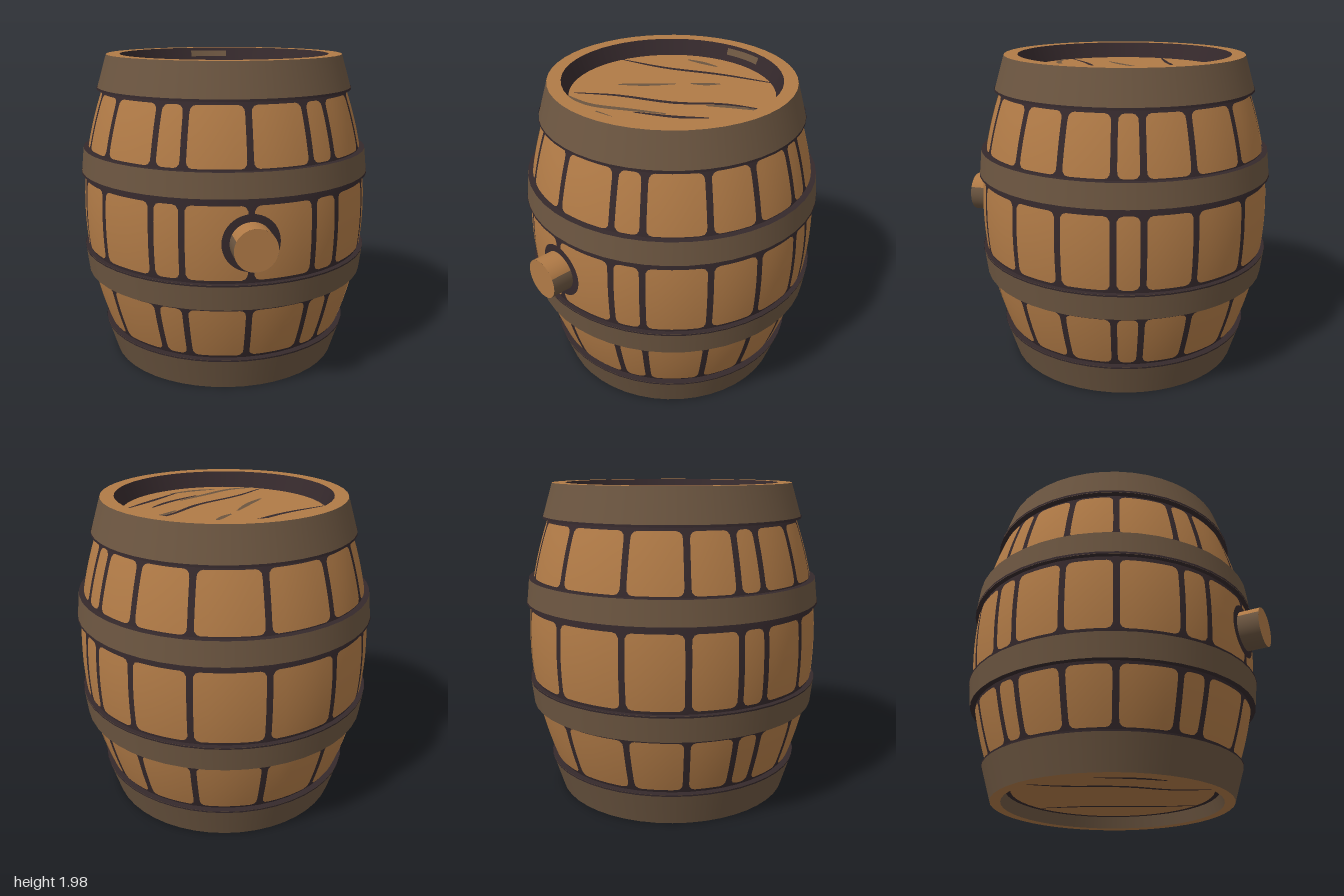
import * as THREE from 'three';

const make = (name, color) => {
  const m = new THREE.MeshStandardMaterial({ color, side: THREE.DoubleSide });
  m.name = name;
  return m;
};

const MID = 0.99, HEIGHT = 1.98, SEGMENTS = 48;
// bulging radius of the staves at a height
const radiusAt = (y) => 0.925 - 0.238 * (y - MID) ** 2;

export function createModel() {
  const wood = make('wood', 0xb07a46);
  const band = make('hoop brown', 0x6b5540);
  const dark = make('dark seam', 0x35292c);

  const model = new THREE.Group();
  model.name = 'barrel';
  const barrel = new THREE.Group();
  barrel.name = 'barrelBody';
  barrel.position.z = -0.06;
  model.add(barrel);

  const add = (name, geometry, material) => {
    const mesh = new THREE.Mesh(geometry, material);
    mesh.name = name;
    barrel.add(mesh);
    return mesh;
  };
  const lathe = (name, points, material, start = 0, length = Math.PI * 2) =>
    add(name, new THREE.LatheGeometry(points.map(([r, y]) => new THREE.Vector2(r, y)), SEGMENTS, start, length), material);
  // move every vertex of a geometry by a rule
  const reshape = (geometry, rule) => {
    const p = geometry.attributes.position;
    for (let i = 0; i < p.count; i++) p.setXYZ(i, ...rule(p.getX(i), p.getY(i)));
    geometry.computeVertexNormals();
    return geometry;
  };

  // dark core that shows through the gaps between staves
  const core = [];
  for (let i = 0; i <= 20; i++) {
    const y = 0.1 + (i / 20) * (HEIGHT - 0.2);
    core.push([radiusAt(y), y]);
  }
  lathe('staveGaps', core, dark);

  // one curved stave face with rounded corners
  const stave = (a0, a1, y0, y1) => {
    const corner = 0.035, gap = 0.019;
    return reshape(new THREE.PlaneGeometry(1, 1, 5, 12), (px, py) => {
      const v = (1 - Math.cos(Math.PI * (py + 0.5))) / 2;
      const y = y0 + (y1 - y0) * v;
      const d = Math.min(y - y0, y1 - y);
      const inset = d < corner ? corner - Math.sqrt(Math.max(0, corner ** 2 - (corner - d) ** 2)) : 0;
      const r = radiusAt(y) + 0.005;
      const margin = (gap + inset) / r;
      const a = a0 + margin + (a1 - a0 - 2 * margin) * (px + 0.5);
      return [r * Math.sin(a), y, r * Math.cos(a)];
    });
  };

  // uneven stave seams, mirrored left and right
  const half = [24.5, 36.3, 60.5, 80, 100, 110.5, 129.5, 152.5];
  const seams = [0, ...half, 180, ...half.map((a) => 360 - a).reverse(), 360].map(THREE.MathUtils.degToRad);
  for (const [y0, y1] of [[0.235, 0.565], [0.765, 1.205], [1.405, 1.745]]) {
    for (let i = 0; i + 1 < seams.length; i++) add('stave', stave(seams[i], seams[i + 1], y0, y1), wood);
  }

  // tapered hoops with dark ledges: [bottom y, bottom radius, top y, top radius]
  const hoops = [
    [0, 0.755, 0.215, 0.82],
    [0.585, 0.922, 0.745, 0.94],
    [1.235, 0.94, 1.395, 0.922],
    [1.765, 0.82, HEIGHT, 0.755],
  ];
  hoops.forEach(([y0, r0, y1, r1], i) => {
    lathe('hoop', [[r0, y0], [r1, y1]], band);
    if (i > 0) lathe('hoopLowerLedge', [[radiusAt(y0) - 0.03, y0], [r0, y0]], dark);
    if (i < 3) lathe('hoopUpperLedge', [[r1, y1], [radiusAt(y1) - 0.03, y1]], dark);
    // dark edge line on the wide rim of each hoop
    const wide = r0 > r1 ? [[r0 + 0.002, y0], [r0 + 0.0005, y0 + 0.014]] : [[r1 + 0.0005, y1 - 0.01], [r1 + 0.002, y1]];
    lathe('hoopEdge', wide, dark);
  });

  // recessed top lid
  const topLid = HEIGHT - 0.1, bottomLid = 0.08;
  lathe('topRim', [[0.755, HEIGHT], [0.67, HEIGHT]], wood);
  lathe('topInnerWall', [[0.67, HEIGHT], [0.632, topLid]], dark);
  lathe('topWallWear', [[0.66, HEIGHT - 0.02], [0.644, HEIGHT - 0.06]], band, 2.95, 0.4);
  lathe('topLid', [[0.64, topLid], [0, topLid]], wood);

  // recessed bottom lid
  lathe('bottomRim', [[0.69, 0], [0.755, 0]], wood);
  lathe('bottomInnerWall', [[0.665, bottomLid], [0.69, 0]], band);
  lathe('bottomLid', [[0, bottomLid], [0.67, bottomLid]], wood);
  lathe('bottomLidEdge', [[0.635, bottomLid - 0.004], [0.668, bottomLid - 0.004]], dark);

  // tapered grain marks on the lids, given as x, z points
  const grain = (points, width) => {
    const curve = new THREE.CatmullRomCurve3(points.map(([x, z]) => new THREE.Vector3(x, 0, z + 0.06)));
    return reshape(new THREE.PlaneGeometry(1, 1, 16, 1), (px, py) => {
      const t = px + 0.5;
      const p = curve.getPoint(t), d = curve.getTangent(t);
      const w = py * width * (0.35 + 0.65 * Math.sin(Math.PI * t));
      return [p.x + d.z * w, 0, p.z - d.x * w];
    });
  };
  const darkMarks = [
    [[-0.61, -0.18], [-0.31, -0.285], [0.03, -0.47], [0.34, -0.6]],
    [[-0.38, 0.4], [-0.18, 0.24], [0.14, 0.06], [0.37, -0.15], [0.59, -0.26]],
    [[0.08, 0.32], [0.3, 0.18], [0.43, 0.06]],
    [[0.2, 0.42], [0.4, 0.24], [0.57, 0.09]],
  ];
  const paleMarks = [
    [[-0.4, 0.46], [-0.18, 0.44], [0.03, 0.32], [0.22, 0.2]],
    [[-0.3, 0.12], [-0.18, 0.0], [-0.06, -0.15]],
    [[0, -0.22], [0.07, -0.28], [0.13, -0.35]],
    [[0.3, -0.05], [0.42, -0.15], [0.56, -0.23]],
    [[-0.31, -0.5], [-0.2, -0.53], [-0.09, -0.55]],
    [[-0.08, 0.47], [0.08, 0.46], [0.24, 0.41]],
  ];
  for (const [marks, material, width] of [[darkMarks, dark, 0.032], [paleMarks, band, 0.038]]) {
    for (const points of marks) {
      const geometry = grain(points, width);
      add('topGrain', geometry, material).position.y = topLid + 0.004;
      if (material === dark) {
        const under = add('bottomGrain', geometry, material);
        under.position.y = bottomLid - 0.004;
        under.rotation.y = -Math.PI / 2;
      }
    }
  }

  // dark ring around the bung, wrapped onto the staves
  add('bungRing', reshape(new THREE.RingGeometry(0.11, 0.17, 40, 2), (x, y) =>
    [x, y + MID, Math.sqrt((radiusAt(y + MID) + 0.009) ** 2 - x * x)]), dark);

  // bung: brown underside, wooden upper side and face
  const bungSide = (name, material, start, length) => {
    const geometry = new THREE.CylinderGeometry(0.125, 0.125, 0.22, 32, 1, true, start, length);
    geometry.rotateX(Math.PI / 2);
    add(name, geometry, material).position.set(0, MID, 0.95);
  };
  const arc = 1.1;
  bungSide('bungUpperSide', wood, Math.PI - arc, 2 * arc);
  bungSide('bungLowerSide', band, Math.PI + arc, 2 * Math.PI - 2 * arc);
  add('bungFace', new THREE.CircleGeometry(0.125, 32), wood).position.set(0, MID, 1.06);

  return model;
}
